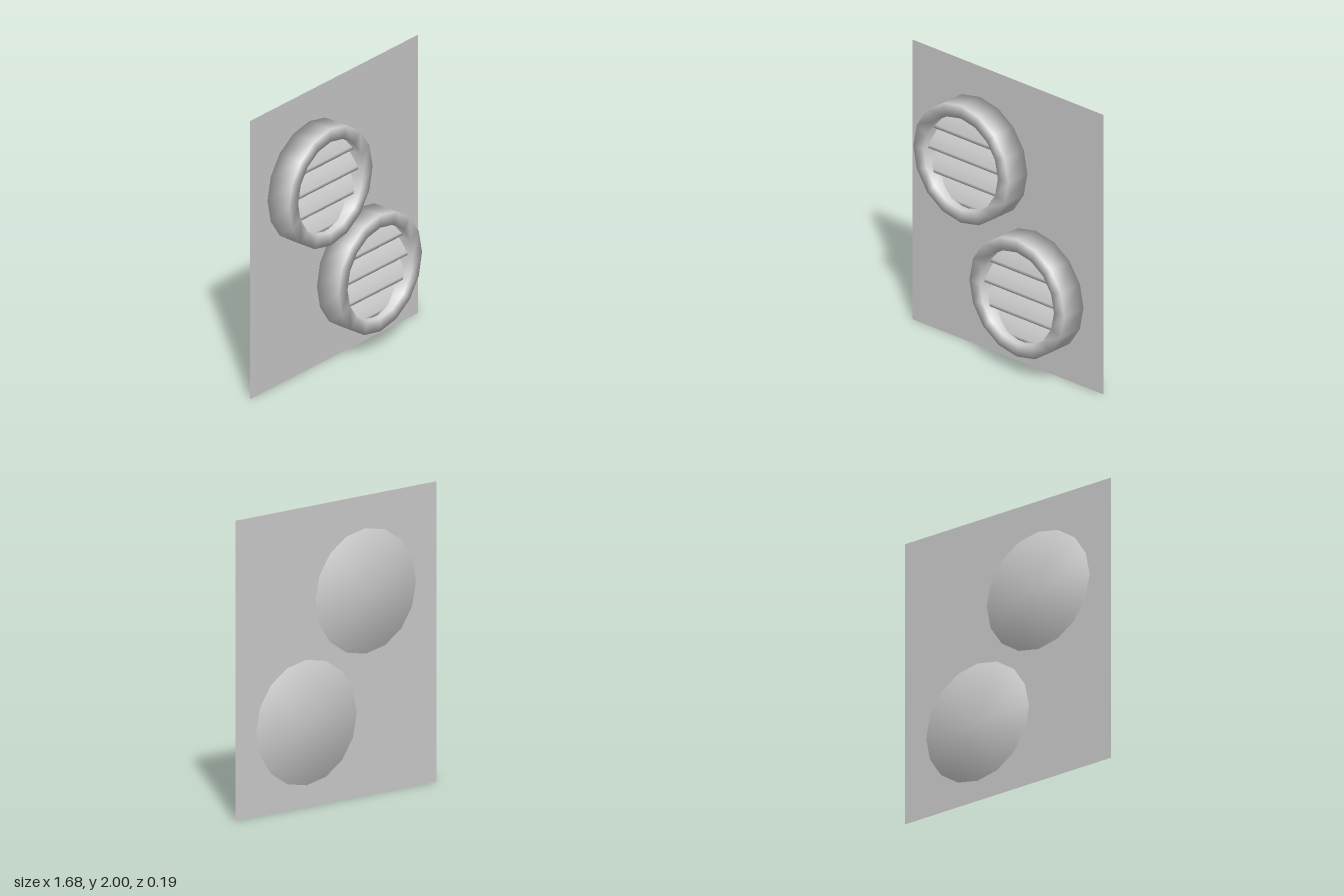
import * as THREE from 'three';

const RIM = 0.418, HOLE = 0.327, HALF = 0.093;
const material = new THREE.MeshStandardMaterial({ color: 0xcccccc });
const sheetMaterial = new THREE.MeshStandardMaterial({ color: 0xcccccc, side: THREE.DoubleSide });

function addMesh(parent, name, geometry, mat = material) {
  const mesh = new THREE.Mesh(geometry, mat);
  mesh.name = name;
  parent.add(mesh);
  return mesh;
}

// Round cup: closed back, outer wall, flat rim, inner wall and floor
function housingGeometry() {
  const profile = [
    [0, -HALF], [RIM, -HALF], [RIM, HALF], [HOLE, HALF], [HOLE, -0.05], [0, -0.05],
  ].map(([r, z]) => new THREE.Vector2(r, z));
  return new THREE.LatheGeometry(profile, 16).rotateX(Math.PI / 2);
}

// Louvre blade: bulges forward as it drops, then folds back under its lip.
// Each row is trimmed to the round opening.
function slatGeometry(top, bottom) {
  const rows = 8, columns = 10, profile = [];
  for (let i = 0; i <= rows; i++) {
    const t = i / rows;
    profile.push([top + (bottom - top) * t, -0.03 + 0.08 * (t + 0.12 * Math.sin(Math.PI * t))]);
  }
  profile.push([bottom - 0.013, -0.03]);
  const positions = [], index = [];
  profile.forEach(([y, z], i) => {
    const half = Math.sqrt(Math.max(HOLE * HOLE - y * y, 0));
    for (let j = 0; j <= columns; j++) {
      positions.push(half * (2 * j / columns - 1), y, z);
      if (i && j) {
        const d = i * (columns + 1) + j, b = d - columns - 1;
        index.push(b - 1, d - 1, d, b - 1, d, b);
      }
    }
  });
  const geometry = new THREE.BufferGeometry();
  geometry.setAttribute('position', new THREE.Float32BufferAttribute(positions, 3));
  geometry.setIndex(index);
  geometry.computeVertexNormals();
  return geometry;
}

function createVent(name, x, y) {
  const vent = new THREE.Group();
  vent.name = name;
  vent.position.set(x, y, 0);
  addMesh(vent, 'housing', housingGeometry());
  const edges = [0.325, 0.158, -0.002, -0.162, -0.322];
  for (let i = 0; i < 4; i++) {
    const top = i ? edges[i] - 0.013 : edges[i];
    addMesh(vent, `slat${i + 1}`, slatGeometry(top, edges[i + 1]), sheetMaterial);
  }
  return vent;
}

export function createModel() {
  const model = new THREE.Group();
  model.name = 'ventPanel';

  // Thin backing sheet, level with the backs of the vents
  const panel = addMesh(model, 'panel', new THREE.PlaneGeometry(1.68, 2), sheetMaterial);
  panel.position.set(0, 1, -0.09);

  model.add(createVent('upperVent', -0.247, 1.362));
  model.add(createVent('lowerVent', 0.247, 0.562));
  return model;
}
